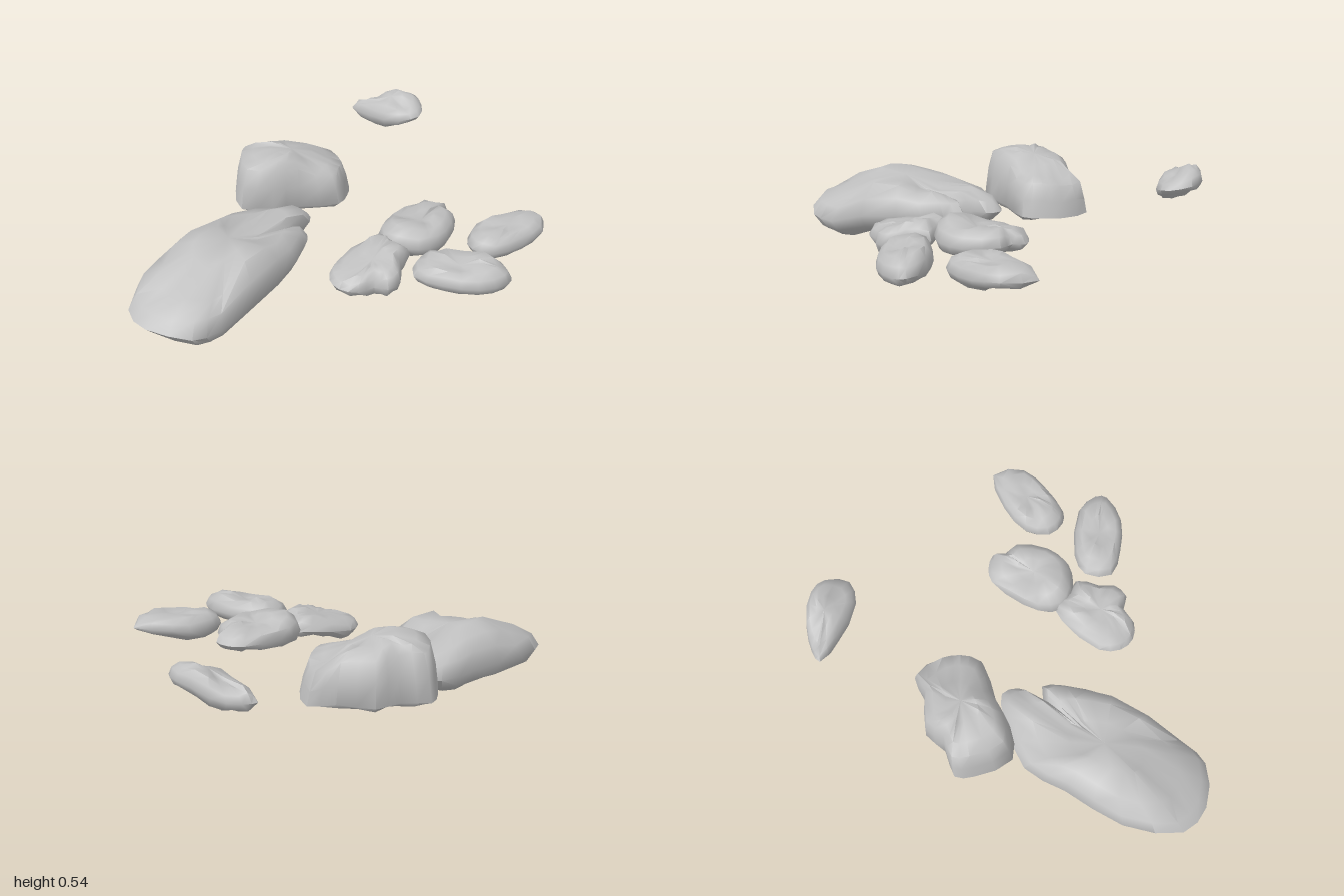
import * as THREE from 'three';
import { toCreasedNormals } from 'three/addons/utils/BufferGeometryUtils.js';

const stone = new THREE.MeshStandardMaterial({ color: 0xc0c0c0 });
stone.name = 'light grey stone';

// Height at (x, z) blended from a few sample points [x, z, y]
function blend(samples, x, z) {
  let sum = 0, weight = 0;
  for (const [sx, sz, sy] of samples) {
    const w = 1 / ((x - sx) ** 2 + (z - sz) ** 2 + 0.0015) ** 1.5;
    sum += w * sy;
    weight += w;
  }
  return sum / weight;
}

// Ring steps from rim to centre: [scale, share of the full height]
const rounded = [[0.91, 0.57], [0.7, 0.92], [0.36, 1]];
const steep = [[0.95, 0.45], [0.86, 0.87], [0.66, 0.98], [0.36, 1]];

// Rock: outline [x, z] clockwise from above, crown and underside heights,
// and how far up between the two the rim sits
function rock(name, outline, top, bottom, rimShare = 0.45, upper = rounded) {
  const curve = new THREE.CatmullRomCurve3(
    outline.map(([x, z]) => new THREE.Vector3(x, 0, z)), true);
  const rim = curve.getPoints(outline.length * 2).slice(0, -1);
  const n = rim.length;
  for (const p of rim) {
    p.y = THREE.MathUtils.lerp(blend(bottom, p.x, p.z), blend(top, p.x, p.z), rimShare);
  }
  const centre = new THREE.Box3().setFromPoints(rim).getCenter(new THREE.Vector3());
  const points = [...rim];
  const index = [];
  let seed = 7;
  const rough = () => ((seed = (seed * 16807) % 2147483647) / 2147483647 - 0.5) * 0.018;

  const cap = (steps, samples, up) => {
    const tri = (a, b, c) => (up ? index.push(b, a, c) : index.push(a, b, c));
    let last = 0;
    for (const [scale, share] of steps) {
      const start = points.length;
      for (const r of rim) {
        const p = centre.clone().lerp(r, scale);
        p.y = THREE.MathUtils.lerp(r.y, blend(samples, p.x, p.z), share) + rough();
        points.push(p);
      }
      for (let i = 0; i < n; i++) {
        const j = (i + 1) % n;
        tri(last + i, last + j, start + i);
        tri(last + j, start + j, start + i);
      }
      last = start;
    }
    points.push(new THREE.Vector3(centre.x, blend(samples, centre.x, centre.z), centre.z));
    for (let i = 0; i < n; i++) tri(last + i, last + (i + 1) % n, points.length - 1);
  };
  cap(upper, top, true);
  cap(rounded, bottom, false);

  const geo = new THREE.BufferGeometry().setFromPoints(points);
  geo.setIndex(index);
  const mesh = new THREE.Mesh(toCreasedNormals(geo, 1), stone);
  mesh.name = name;
  return mesh;
}

export function createModel() {
  const group = new THREE.Group();
  group.name = 'scatteredRocks';
  group.add(
    // Long slab with two lobes at the back
    rock('frontSlab',
      [[-0.4, 0.01], [-0.32, -0.07], [-0.25, -0.03], [-0.22, 0.1], [-0.17, 0.05], [-0.1, 0.12],
        [0.01, 0.33], [0.075, 0.72], [0.06, 0.86], [-0.11, 0.99], [-0.27, 0.98], [-0.43, 0.75],
        [-0.48, 0.45], [-0.52, 0.24]],
      [[-0.33, 0.06, 0.29], [-0.28, 0.57, 0.34], [-0.2, 0.25, 0.25], [-0.12, 0.2, 0.29],
        [-0.03, 0.43, 0.32], [0, 0.72, 0.2], [-0.3, 0.8, 0.26], [-0.15, 0.92, 0.2]],
      [[0, 0.77, -0.025], [-0.14, 0.93, 0.04], [-0.34, 0.7, 0.07], [-0.2, 0.4, 0.06],
        [-0.3, 0.06, 0.12]]),
    // Tall boulder with steep sides
    rock('boulder',
      [[-0.53, -0.43], [-0.38, -0.39], [-0.31, -0.32], [-0.27, -0.23], [-0.37, -0.06],
        [-0.42, 0.07], [-0.53, 0.18], [-0.7, 0.1], [-0.76, 0.03], [-0.7, -0.08], [-0.7, -0.2],
        [-0.58, -0.32]],
      [[-0.66, 0.02, 0.46], [-0.55, -0.06, 0.48], [-0.56, -0.2, 0.44], [-0.33, -0.23, 0.39],
        [-0.48, -0.38, 0.37]],
      [[-0.5, -0.1, 0.19]], 0.1, steep),
    // Tilted stone behind
    rock('backStone',
      [[-0.78, -0.75], [-0.77, -0.81], [-0.7, -0.91], [-0.57, -0.995], [-0.48, -0.99],
        [-0.415, -0.91], [-0.47, -0.82], [-0.65, -0.76]],
      [[-0.72, -0.8, 0.46], [-0.58, -0.94, 0.52], [-0.5, -0.84, 0.46]],
      [[-0.6, -0.82, 0.34], [-0.55, -0.95, 0.42]]),
    // Two lumpy stones in the middle
    rock('middleStone',
      [[0.06, -0.46], [0.1, -0.52], [0.17, -0.55], [0.21, -0.51], [0.28, -0.5], [0.37, -0.36],
        [0.37, -0.24], [0.31, -0.16], [0.22, -0.11], [0.13, -0.14], [0.07, -0.27]],
      [[0.13, -0.42, 0.32], [0.24, -0.42, 0.34], [0.19, -0.34, 0.3], [0.25, -0.22, 0.35]],
      [[0.15, -0.42, 0.22], [0.26, -0.25, 0.19]]),
    rock('middleFrontStone',
      [[0.13, -0.08], [0.18, -0.17], [0.25, -0.14], [0.33, -0.16], [0.38, -0.06], [0.44, 0],
        [0.44, 0.07], [0.38, 0.1], [0.36, 0.18], [0.29, 0.23], [0.21, 0.22], [0.14, 0.14]],
      [[0.2, -0.08, 0.31], [0.31, -0.07, 0.32], [0.26, 0.03, 0.27], [0.27, 0.15, 0.25]],
      [[0.22, -0.06, 0.2], [0.34, 0.08, 0.14], [0.22, 0.14, 0.16]]),
    // Two grooved oval stones on the left
    rock('leftBackStone',
      [[0.5, -0.84], [0.62, -0.74], [0.62, -0.6], [0.58, -0.45], [0.53, -0.41], [0.44, -0.42],
        [0.38, -0.52], [0.4, -0.68]],
      [[0.46, -0.65, 0.32], [0.52, -0.62, 0.3], [0.57, -0.7, 0.33]],
      [[0.52, -0.76, 0.24], [0.5, -0.55, 0.19]]),
    rock('leftStone',
      [[0.39, -0.15], [0.43, -0.25], [0.63, -0.39], [0.75, -0.38], [0.78, -0.33], [0.73, -0.2],
        [0.6, -0.1], [0.47, -0.05]],
      [[0.5, -0.22, 0.32], [0.62, -0.3, 0.33], [0.6, -0.21, 0.28], [0.66, -0.2, 0.3]],
      [[0.58, -0.2, 0.19]]),
  );
  return group;
}
